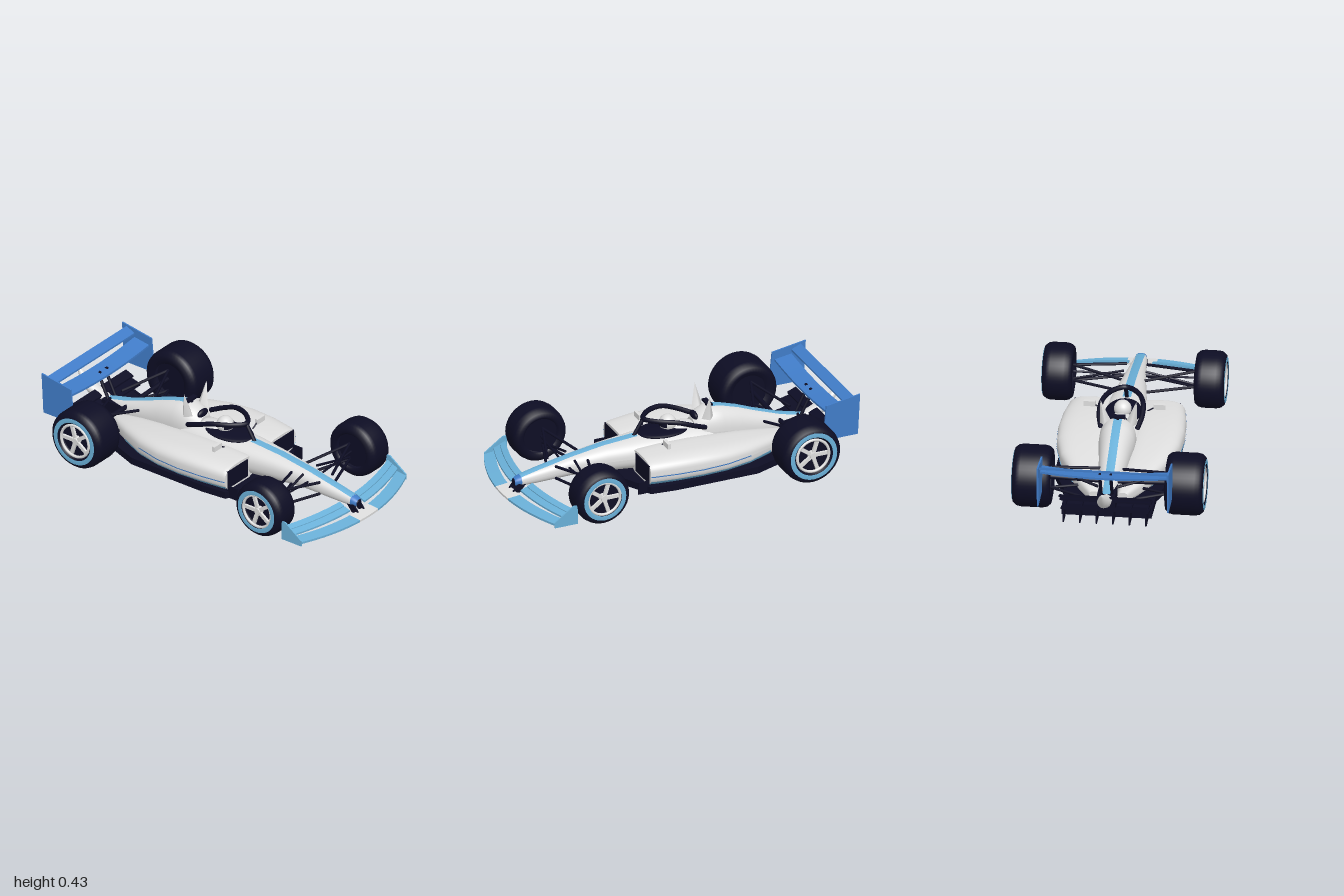
import * as THREE from 'three';

const mat = (name, color, side = THREE.FrontSide) => new THREE.MeshStandardMaterial({ name, color, side });
const white = mat('white', 0xdedede);
const navy = mat('navy', 0x0d0d24, THREE.DoubleSide);
const sky = mat('skyBlue', 0x6ab0d8, THREE.DoubleSide);
const blue = mat('midBlue', 0x407cc8, THREE.DoubleSide);
const V = (x, y, z) => new THREE.Vector3(x, y, z);

export function createModel() {
  const car = new THREE.Group();
  car.name = 'racingCar';

  function add(name, geo, material, x = 0, y = 0, z = 0, parent = car) {
    const m = new THREE.Mesh(geo, material);
    m.name = name;
    m.position.set(x, y, z);
    parent.add(m);
    return m;
  }
  const box = (name, w, h, d, m, x, y, z, parent) => add(name, new THREE.BoxGeometry(w, h, d), m, x, y, z, parent);

  function rod(name, a, b, r, m = navy) {
    const o = add(name, new THREE.CylinderGeometry(r, r, a.distanceTo(b), 8), m);
    o.position.copy(a).lerp(b, 0.5);
    o.quaternion.setFromUnitVectors(V(0, 1, 0), b.clone().sub(a).normalize());
    return o;
  }

  // Surface between rows of points
  function skin(rows, flip = false) {
    const n = rows[0].length, idx = [];
    for (let i = 0; i < rows.length - 1; i++) for (let j = 0; j < n - 1; j++) {
      const a = i * n + j, b = a + 1, d = a + n, c = d + 1;
      idx.push(...(flip ? [a, b, d, b, c, d] : [a, d, b, b, d, c]));
    }
    const g = new THREE.BufferGeometry().setFromPoints(rows.flat());
    g.setIndex(idx);
    g.computeVertexNormals();
    return g;
  }

  // Rounded body from stations [z, centre x, half width, bottom, top], listed front to back
  function loft(name, stations, power, m) {
    const N = 48, group = new THREE.Group();
    group.name = name;
    const bulge = (v) => Math.sign(v) * Math.abs(v) ** (2 / power);
    const rings = stations.map(([z, cx, hw, yb, yt]) => Array.from({ length: N + 1 }, (_, j) => {
      const a = j / N * Math.PI * 2;
      return V(cx + hw * bulge(Math.cos(a)), (yb + yt) / 2 + (yt - yb) / 2 * bulge(Math.sin(a)), z);
    }));
    add(name + 'Skin', skin(rings), m, 0, 0, 0, group);
    [0, rings.length - 1].forEach((k) => {
      const [z, cx, , yb, yt] = stations[k];
      add(name + 'Cap', skin([rings[k], rings[k].map(() => V(cx, (yb + yt) / 2, z))], k === 0), m, 0, 0, 0, group);
    });
    car.add(group);
  }

  // Painted stripe following the crown of a lofted body
  function crownStripe(stations, power, w) {
    add('crownStripe', skin(stations.map(([z, cx, hw, yb, yt]) => [-1, -0.5, 0, 0.5, 1].map((t) => {
      const x = t * Math.min(w, hw * 0.8);
      return V(x, (yb + yt) / 2 + (yt - yb) / 2 * (1 - Math.abs(x / hw) ** power) ** (1 / power) + 0.003, z);
    })), true), sky);
  }

  // Painted band along the outer flank of a lofted body
  function flankBand(name, stations, power, y0, y1, s, m) {
    add(name, skin(stations.map(([z, cx, hw, yb, yt]) => [0, 0.25, 0.5, 0.75, 1].map((t) => {
      const y = y0 + (y1 - y0) * t, k = Math.min(1, Math.abs(y - (yb + yt) / 2) / ((yt - yb) / 2));
      return V(cx + s * (hw * (1 - k ** power) ** (1 / power) + 0.004), y, z);
    })), s < 0), m);
  }

  // Wing blade bowed in plan, sagging at the middle and tilted up to the rear
  function blade(name, x0, x1, t, d, y, z, bow, sag, tilt, m) {
    const g = new THREE.BoxGeometry(x1 - x0, t, d, 20, 1, 1).translate((x0 + x1) / 2, 0, 0);
    const p = g.attributes.position;
    for (let i = 0; i < p.count; i++) {
      const x = p.getX(i), zz = p.getZ(i);
      p.setXYZ(i, x, p.getY(i) + sag * x * x - zz * tilt, zz - bow * x * x);
    }
    g.computeVertexNormals();
    add(name, g, m, 0, y, z);
  }

  // Upright plate outlined by [z, y] points
  function plate(name, pts, t, m, x) {
    const g = new THREE.ExtrudeGeometry(new THREE.Shape(pts.map((p) => new THREE.Vector2(...p))), { depth: t, bevelEnabled: false });
    add(name, g.rotateY(-Math.PI / 2).translate(t / 2, 0, 0), m, x);
  }

  // Nose and tub
  const tub = [[0.89, 0, 0.033, 0.078, 0.137], [0.8, 0, 0.042, 0.078, 0.156], [0.6, 0, 0.06, 0.085, 0.195],
    [0.4, 0, 0.086, 0.075, 0.224], [0.2, 0, 0.115, 0.06, 0.238], [0.05, 0, 0.127, 0.06, 0.242],
    [-0.1, 0, 0.123, 0.06, 0.246], [-0.2, 0, 0.12, 0.06, 0.24], [-0.35, 0, 0.1, 0.06, 0.215],
    [-0.55, 0, 0.07, 0.06, 0.17], [-0.74, 0, 0.045, 0.07, 0.14]];
  loft('tub', tub, 2.3, white);
  crownStripe(tub.slice(0, 5), 2.3, 0.023);
  loft('noseTip', [[0.925, 0, 0.022, 0.085, 0.122], [0.91, 0, 0.03, 0.08, 0.132], [0.889, 0, 0.034, 0.078, 0.138]], 2.3, blue);
  loft('noseCap', [[0.929, 0, 0.016, 0.088, 0.118], [0.924, 0, 0.022, 0.084, 0.123]], 2.3, navy);

  // Engine cover
  const cover = [[-0.13, 0, 0.06, 0.12, 0.27], [-0.17, 0, 0.088, 0.1, 0.31], [-0.22, 0, 0.1, 0.09, 0.33],
    [-0.29, 0, 0.098, 0.08, 0.322], [-0.4, 0, 0.084, 0.07, 0.288], [-0.5, 0, 0.074, 0.07, 0.248],
    [-0.65, 0, 0.055, 0.08, 0.195], [-0.78, 0, 0.035, 0.1, 0.165]];
  loft('engineCover', cover, 2.2, white);
  crownStripe(cover.slice(2), 2.2, 0.023);
  const intake = add('airIntake', new THREE.SphereGeometry(1, 20, 12), navy, 0, 0.285, -0.145);
  intake.scale.set(0.042, 0.024, 0.016);
  box('cameraBar', 0.08, 0.012, 0.03, navy, 0, 0.346, -0.225);
  box('cameraPost', 0.014, 0.03, 0.02, navy, 0, 0.333, -0.225);

  // Cockpit, driver's helmet and halo
  add('cockpitOpening', new THREE.SphereGeometry(1, 32, 12), navy, 0, 0.236, 0.04).scale.set(0.1, 0.017, 0.15);
  add('headrest', new THREE.SphereGeometry(1, 24, 12), white, 0, 0.24, -0.06).scale.set(0.055, 0.025, 0.09);
  add('helmet', new THREE.SphereGeometry(0.048, 24, 16), white, 0, 0.272, 0.01);
  add('visor', new THREE.SphereGeometry(0.0495, 20, 6, 0.5, Math.PI - 1, 1.3, 0.5), navy, 0, 0.272, 0.01);
  const arc = [[0.1, 0.25, -0.17], [0.117, 0.285, -0.09], [0.112, 0.318, 0], [0.07, 0.327, 0.1]];
  const halo = [...arc.map((p) => V(...p)), V(0, 0.325, 0.155), ...arc.map(([x, y, z]) => V(-x, y, z)).reverse()];
  add('halo', new THREE.TubeGeometry(new THREE.CatmullRomCurve3(halo), 60, 0.014, 8), navy);
  rod('haloPillar', V(0, 0.325, 0.155), V(0, 0.228, 0.215), 0.011);

  // Floor and diffuser
  const half = [[0.075, 0.39], [0.11, 0.36], [0.31, 0.25], [0.325, 0.1], [0.325, -0.38], [0.25, -0.58], [0.245, -0.78]];
  const outline = [...half, ...half.map(([x, z]) => [-x, z]).reverse()].map(([x, z]) => new THREE.Vector2(x, -z));
  add('floor', new THREE.ExtrudeGeometry(new THREE.Shape(outline), { depth: 0.04, bevelEnabled: false }).rotateX(-Math.PI / 2), navy, 0, 0.03);
  blade('diffuserRoof', -0.24, 0.24, 0.012, 0.15, 0.085, -0.79, 0, 0, 0.35, navy);
  for (let i = 0; i < 6; i++) {
    plate('diffuserStrake', [[-0.7, 0.03], [-0.7, 0.08], [-0.87, 0.105], [-0.87, 0.03]], 0.008, navy, -0.225 + i * 0.09);
  }
  box('gearbox', 0.1, 0.09, 0.2, navy, 0, 0.12, -0.7);

  // Front wing
  blade('frontWingCentre', -0.08, 0.08, 0.012, 0.07, 0.052, 0.963, 0.5, 0, 0.1, white);
  // Rear wing
  blade('rearWingMain', -0.35, 0.35, 0.012, 0.1, 0.306, -0.835, 0, 0.17, 0.15, blue);
  blade('rearWingFlap', -0.35, 0.35, 0.01, 0.055, 0.372, -0.912, 0, 0, 0.45, blue);
  blade('beamWingLower', -0.25, 0.25, 0.01, 0.07, 0.14, -0.8, 0, 0, 0.25, navy);
  blade('beamWingUpper', -0.25, 0.25, 0.01, 0.05, 0.175, -0.84, 0, 0, 0.4, navy);

  // Upturned tail
  loft('tail', [[-0.78, 0, 0.03, 0.13, 0.165], [-0.84, 0, 0.036, 0.135, 0.185], [-0.9, 0, 0.038, 0.145, 0.215],
    [-0.94, 0, 0.032, 0.165, 0.24], [-0.97, 0, 0.022, 0.2, 0.262], [-0.99, 0, 0.01, 0.235, 0.272], [-1, 0, 0.002, 0.262, 0.27]], 2, white);

  // Wheel built along +y (outwards), then turned to its side
  function wheel(name, s, R, width, x, y, z) {
    const g = new THREE.Group(), h = width / 2;
    g.name = name;
    const edge = [[0.1, h - 0.012], [R - 0.045, h], [R - 0.02, h - 0.004], [R - 0.005, h - 0.022], [R, h - 0.045]];
    const prof = [...edge.map(([r, t]) => [r, -t]), ...edge.slice().reverse(), [0.098, h - 0.04]];
    add('tyre', new THREE.LatheGeometry(prof.map((p) => new THREE.Vector2(...p)), 48), navy, 0, 0, 0, g);
    add('innerDisc', new THREE.CylinderGeometry(0.102, 0.102, width - 0.07, 32), navy, 0, 0, 0, g);
    const ringProfile = [[R - 0.032, h + 0.001], [R - 0.048, h + 0.003], [R - 0.058, h + 0.001]];
    add('tyreBand', new THREE.LatheGeometry(ringProfile.map((p) => new THREE.Vector2(...p)), 48), sky, 0, 0, 0, g);
    add('rim', new THREE.TorusGeometry(0.094, 0.008, 8, 40).rotateX(Math.PI / 2), white, 0, h - 0.01, 0, g);
    add('hub', new THREE.CylinderGeometry(0.018, 0.024, 0.03, 16), white, 0, h - 0.02, 0, g);
    for (let i = 0; i < 5; i++) {
      const spoke = new THREE.BoxGeometry(0.078, 0.014, 0.02).translate(0.053, 0, 0).rotateY(i * Math.PI * 0.4 + Math.PI / 2);
      add('spoke', spoke, white, 0, h - 0.018, 0, g);
    }
    g.rotation.z = -s * Math.PI / 2;
    g.position.set(s * x, y, z);
    car.add(g);
  }

  // Everything that comes in pairs
  for (const s of [1, -1]) {
    const side = s > 0 ? 'left' : 'right';
    wheel(side + 'FrontWheel', s, 0.157, 0.165, 0.413, 0.158, 0.607);
    wheel(side + 'RearWheel', s, 0.17, 0.21, 0.415, 0.172, -0.622);

    // Sidepod with intake and painted bands
    const pod = [[0.25, 0.31, 0.205], [0.23, 0.317, 0.212], [0.1, 0.336, 0.22], [-0.05, 0.345, 0.22], [-0.2, 0.335, 0.21], [-0.35, 0.298, 0.195],
      [-0.5, 0.225, 0.17], [-0.6, 0.165, 0.148], [-0.68, 0.105, 0.125]]
      .map(([z, xo, yt]) => [z, s * (0.05 + xo) / 2, (xo - 0.05) / 2, 0.064, yt]);
    loft(side + 'Sidepod', pod, 3, white);
    flankBand('lowerBand', pod.slice(0, 7), 3, 0.074, 0.102, s, sky);
    flankBand('pinstripe', pod.slice(0, 6), 3, 0.13, 0.136, s, blue);
    box('sidepodIntake', 0.175, 0.105, 0.008, navy, s * 0.203, 0.137, 0.25);
    box('floorFence', 0.008, 0.07, 0.07, navy, s * 0.285, 0.065, 0.28);

    // Mirror
    box('mirror', 0.065, 0.03, 0.018, white, s * 0.19, 0.245, 0.1);
    rod('mirrorStalk', V(s * 0.11, 0.205, 0.1), V(s * 0.165, 0.24, 0.1), 0.004);

    // Ear
    const ear = new THREE.ConeGeometry(0.034, 0.14, 4).translate(0, 0.07, 0);
    const p = ear.attributes.position;
    for (let i = 0; i < p.count; i++) p.setX(i, p.getX(i) + s * p.getY(i) * 0.22);
    ear.computeVertexNormals();
    add(side + 'Ear', ear, white, s * 0.068, 0.288, -0.195);

    // Front wing half
    const span = (a, b) => (s > 0 ? [a, b] : [-b, -a]);
    blade('frontWingMain', ...span(0.08, 0.46), 0.012, 0.07, 0.052, 0.963, 0.5, 0, 0.1, sky);
    blade('frontWingFlap', ...span(0.065, 0.455), 0.01, 0.036, 0.083, 0.897, 0.38, 0, 0.35, sky);
    blade('frontWingUpperFlap', ...span(0.065, 0.455), 0.01, 0.032, 0.099, 0.861, 0.38, 0, 0.4, sky);
    plate('frontEndplate', [[0.89, 0.028], [0.89, 0.06], [0.78, 0.138], [0.755, 0.138], [0.755, 0.028]], 0.008, sky, s * 0.46);
    plate('wingPylon', [[0.95, 0.05], [0.91, 0.1], [0.86, 0.1], [0.9, 0.05]], 0.01, navy, s * 0.026);

    // Rear wing support
    plate('rearEndplate', [[-0.75, 0.165], [-0.77, 0.37], [-0.97, 0.402], [-0.957, 0.165]], 0.009, blue, s * 0.354);
    rod('rearWingPillar', V(s * 0.03, 0.11, -0.74), V(s * 0.03, 0.31, -0.84), 0.009);
    box('pillarMount', 0.012, 0.008, 0.014, navy, s * 0.03, 0.313, -0.825);

    // Front suspension
    const hubF = [s * 0.335, 0.6];
    for (const z of [0.51, 0.7]) {
      rod('frontUpperArm', V(s * 0.055, 0.175, z), V(hubF[0], 0.205, hubF[1]), 0.008);
      rod('frontLowerArm', V(s * 0.055, 0.105, z), V(hubF[0], 0.11, hubF[1]), 0.008);
    }
    rod('frontPushrod', V(s * 0.06, 0.19, 0.59), V(hubF[0], 0.12, hubF[1]), 0.007);
    rod('frontTrackRod', V(s * 0.05, 0.15, 0.62), V(hubF[0], 0.16, 0.61), 0.006);

    // Rear suspension
    rod('driveShaft', V(s * 0.04, 0.17, -0.635), V(s * 0.32, 0.18, -0.635), 0.013);
    for (const z of [-0.53, -0.74]) {
      rod('rearUpperArm', V(s * 0.05, 0.19, z), V(s * 0.32, 0.235, -0.63), 0.008);
      rod('rearLowerArm', V(s * 0.05, 0.1, z), V(s * 0.32, 0.11, -0.63), 0.008);
    }
  }
  return car;
}
